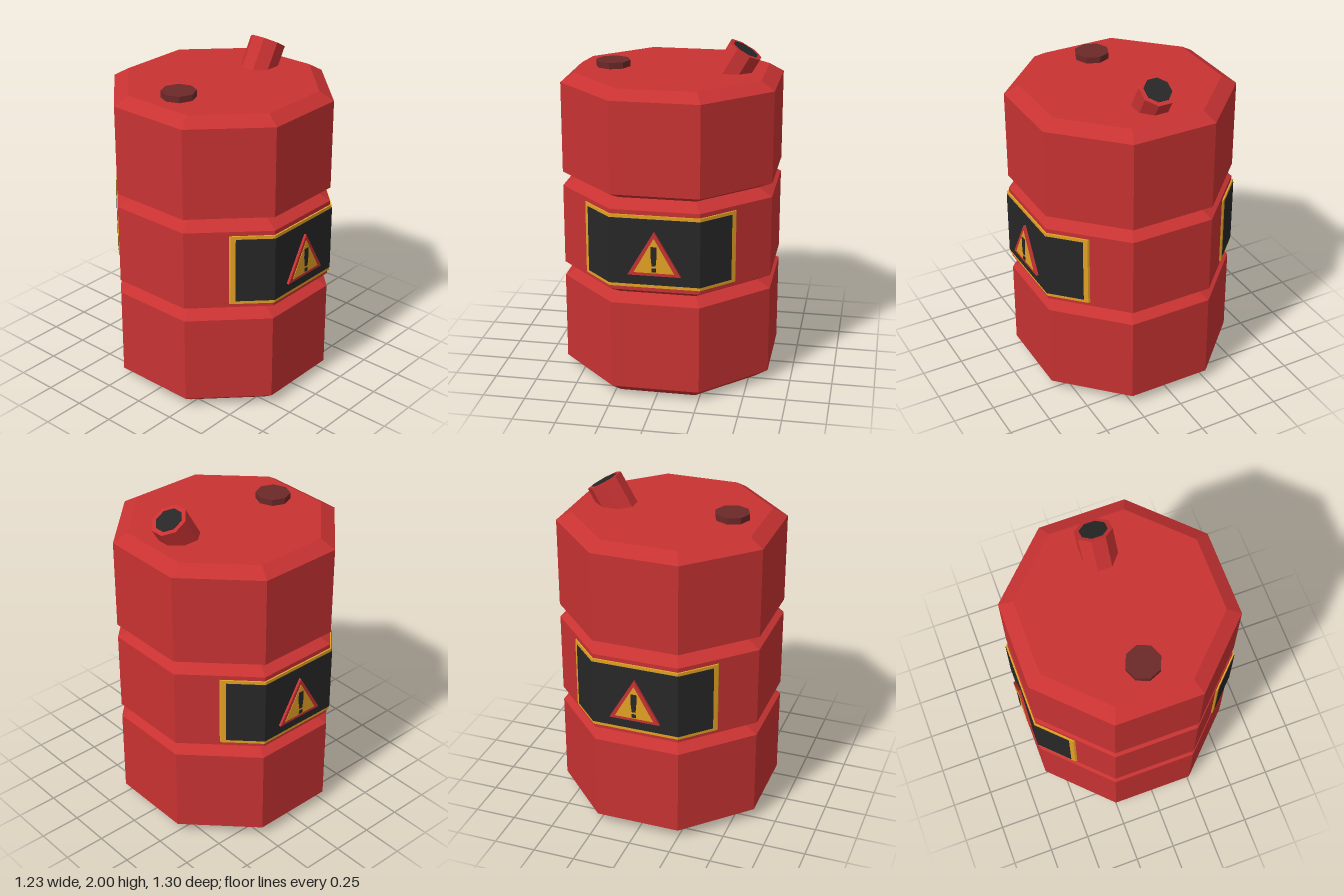
import * as THREE from 'three';

const mat = (name, color) => {
  const m = new THREE.MeshStandardMaterial({ color, flatShading: true });
  m.name = name;
  return m;
};

export function createModel() {
  const red = mat('barrel red', 0xc83232);
  const maroon = mat('cap maroon', 0x6c2828);
  const black = mat('label black', 0x272727);
  const yellow = mat('warning yellow', 0xe3a224);

  const model = new THREE.Group();
  model.name = 'fuelBarrel';
  const add = (parent, name, geometry, material) => {
    const mesh = new THREE.Mesh(geometry, material);
    mesh.name = name;
    parent.add(mesh);
    return mesh;
  };

  // Octagonal body: pairs of flat-to-centre distance and height
  const profile = [
    [0, 0], [0.535, 0], [0.615, 0.06], [0.615, 0.59], [0.535, 0.63], [0.615, 0.675],
    [0.615, 1.155], [0.535, 1.2], [0.615, 1.24], [0.615, 1.775], [0.535, 1.825], [0, 1.825],
  ].map(([a, y]) => new THREE.Vector2(a / Math.cos(Math.PI / 8), y));
  add(model, 'barrelBody', new THREE.LatheGeometry(profile, 8, Math.PI / 8), red);

  // Small screw cap on the lid
  const cap = add(model, 'screwCap', new THREE.CylinderGeometry(0.102, 0.102, 0.045, 8), maroon);
  cap.position.set(-0.36, 1.8395, 0);

  // Slanted spout with its dark opening
  const spout = new THREE.Group();
  spout.name = 'spout';
  spout.position.set(0.4175, 1.95, 0);
  spout.rotation.z = -Math.PI / 6;
  model.add(spout);
  const pipe = new THREE.CylinderGeometry(0.108, 0.108, 0.22, 8).rotateY(Math.PI / 8);
  add(spout, 'spoutPipe', pipe.translate(0, -0.11, 0), red);
  const opening = new THREE.CylinderGeometry(0.081, 0.081, 0.004, 8).rotateY(Math.PI / 8);
  add(spout, 'spoutOpening', opening, black);

  // Thin band bent round three faces, from plan outline extruded upwards
  const band = (inner, outer, halfWidth, y0, y1) => {
    const edge = (a) => {
      const k = a * Math.tan(Math.PI / 8);
      const end = a + k - halfWidth;
      return [[-halfWidth, end], [-k, a], [k, a], [halfWidth, end]];
    };
    const outline = [...edge(outer), ...edge(inner).reverse()];
    const shape = new THREE.Shape(outline.map(([x, z]) => new THREE.Vector2(x, -z)));
    return new THREE.ExtrudeGeometry(shape, { depth: y1 - y0, bevelEnabled: false })
      .rotateX(-Math.PI / 2).translate(0, y0, 0);
  };

  // Flat plate facing +z
  const plate = (points, z0, z1) => {
    const shape = new THREE.Shape(points.map(([x, y]) => new THREE.Vector2(x, y)));
    return new THREE.ExtrudeGeometry(shape, { depth: z1 - z0, bevelEnabled: false })
      .translate(0, 0, z0);
  };

  // Warning label, repeated on front and back
  for (const [name, turn] of [['frontLabel', 0], ['backLabel', Math.PI]]) {
    const label = new THREE.Group();
    label.name = name;
    label.rotation.y = turn;
    model.add(label);
    add(label, 'labelBorder', band(0.616, 0.625, 0.435, 0.7, 1.13), yellow);
    add(label, 'labelPanel', band(0.62, 0.628, 0.416, 0.719, 1.111), black);
    add(label, 'signFrame', plate([[-0.152, 0.78], [0.152, 0.78], [0, 1.042]], 0.62, 0.643), red);
    add(label, 'signFace', plate([[-0.116, 0.798], [0.116, 0.798], [0, 1.005]], 0.64, 0.6455), yellow);
    add(label, 'warningBar', plate(
      [[-0.011, 0.842], [0.011, 0.842], [0.017, 0.9], [0.017, 0.955], [-0.017, 0.955], [-0.017, 0.9]],
      0.642, 0.65), black);
    add(label, 'warningDot', plate(
      [[-0.012, 0.806], [0.012, 0.806], [0.012, 0.828], [-0.012, 0.828]], 0.642, 0.65), black);
  }

  return model;
}
